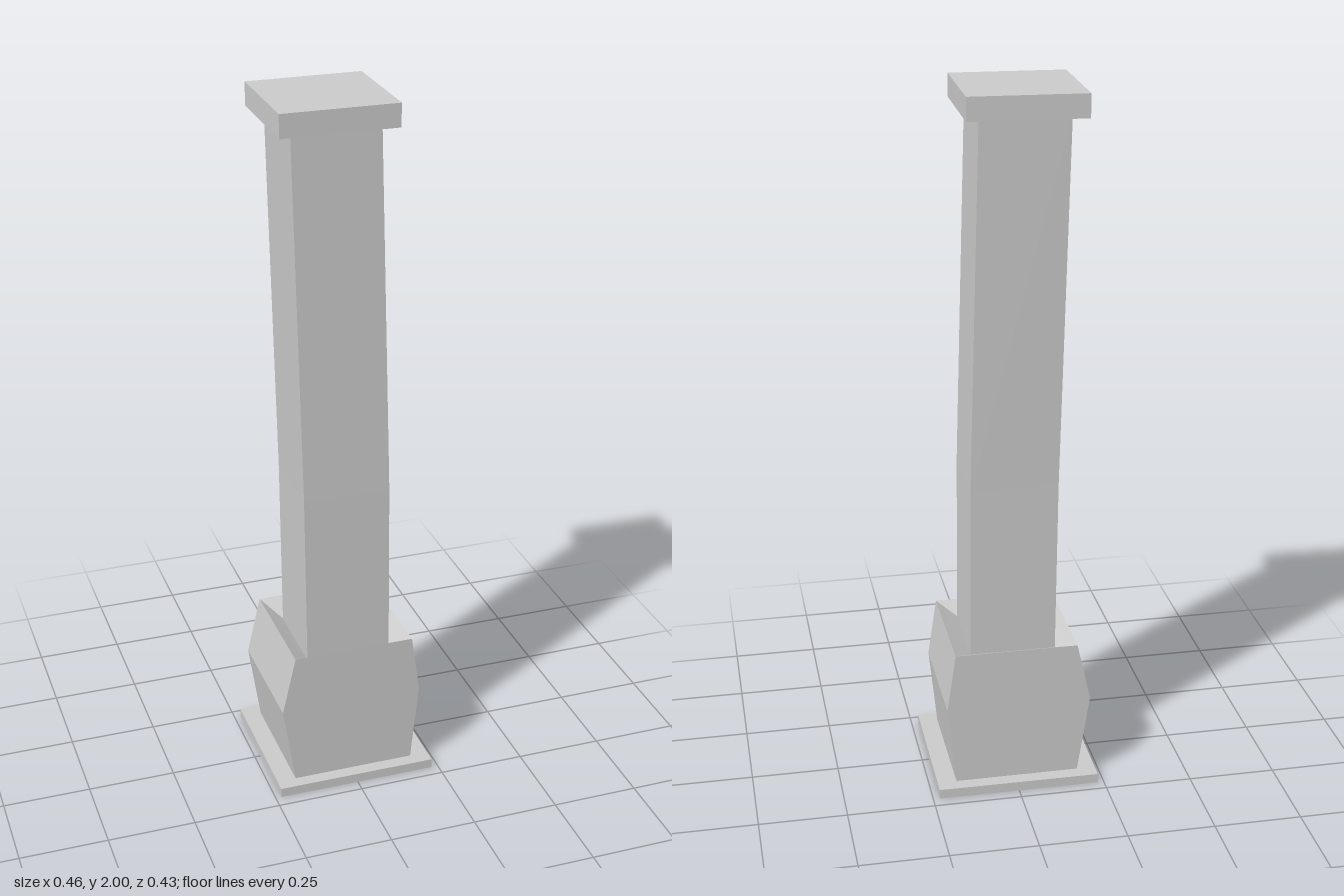
import * as THREE from 'three';

// Four corners of a slightly turned rectangle, counter-clockwise seen from above
function ring(y, cx, cz, width, depth, turn = 0, tilt = 0) {
  const c = Math.cos(turn), s = Math.sin(turn);
  return [[-1, 1], [1, 1], [1, -1], [-1, -1]].map(([sx, sz]) => {
    const x = sx * width / 2, z = sz * depth / 2;
    return [cx + x * c - z * s, y + x * tilt, cz + x * s + z * c];
  });
}

// Faceted solid through a stack of rings, closed at both ends
function loft(name, rings, material) {
  const pos = [];
  const quad = (a, b, c, d) => pos.push(...a, ...b, ...c, ...a, ...c, ...d);
  for (let r = 0; r < rings.length - 1; r++) {
    const lo = rings[r], hi = rings[r + 1];
    for (let i = 0; i < 4; i++) {
      const j = (i + 1) % 4;
      quad(lo[i], lo[j], hi[j], hi[i]);
    }
  }
  const bottom = rings[0], top = rings[rings.length - 1];
  quad(bottom[3], bottom[2], bottom[1], bottom[0]);
  quad(...top);
  const geometry = new THREE.BufferGeometry();
  geometry.setAttribute('position', new THREE.Float32BufferAttribute(pos, 3));
  geometry.computeVertexNormals();
  const mesh = new THREE.Mesh(geometry, material);
  mesh.name = name;
  return mesh;
}

export function createModel() {
  const group = new THREE.Group();
  group.name = 'pillar';
  const stone = new THREE.MeshStandardMaterial({ color: 0xcccccc, flatShading: true });
  const shaftFoot = ring(0.395, -0.003, 0.015, 0.245, 0.242, 0.008);

  group.add(
    // Thin ground slab
    loft('baseSlab', [
      ring(0, -0.001, -0.001, 0.463, 0.431, 0.004),
      ring(0.028, -0.001, -0.001, 0.463, 0.431, 0.004),
    ], stone),
    // Plinth bulging sideways, its top dipping inwards to the shaft
    loft('plinth', [
      ring(0.028, -0.001, 0, 0.355, 0.354),
      ring(0.26, -0.007, 0, 0.414, 0.354),
      ring(0.432, 0, 0, 0.35, 0.354),
      shaftFoot,
    ], stone),
    // Leaning shaft with a slight bend
    loft('shaft', [
      shaftFoot,
      ring(0.9, -0.007, 0.011, 0.247, 0.243, 0.01),
      ring(1.94, -0.032, -0.004, 0.244, 0.243, 0.016),
    ], stone),
    // Capital slab
    loft('capital', [
      ring(1.935, -0.032, -0.0075, 0.321, 0.321, 0.018, 0.006),
      ring(1.999, -0.032, -0.0075, 0.321, 0.321, 0.018, 0.006),
    ], stone),
  );
  return group;
}
